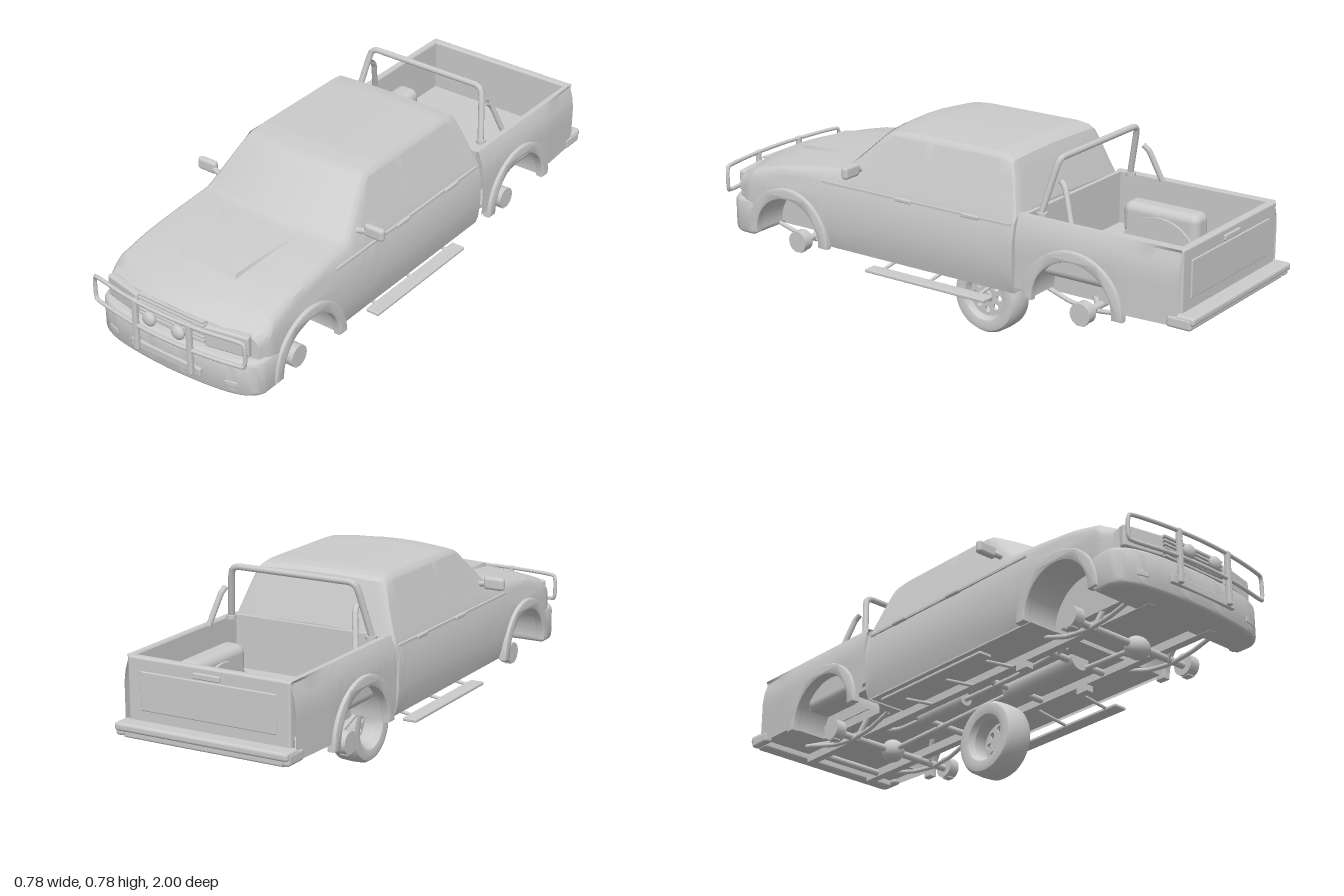
import * as THREE from 'three';
import { toCreasedNormals } from 'three/addons/utils/BufferGeometryUtils.js';
import { RoundedBoxGeometry } from 'three/addons/geometries/RoundedBoxGeometry.js';

const mat = new THREE.MeshStandardMaterial({ color: 0xcccccc, side: THREE.DoubleSide });
const V = (x, y, z) => new THREE.Vector3(x, y, z);
const lerp = THREE.MathUtils.lerp, clamp = THREE.MathUtils.clamp;
const range = (a, b, n) => Array.from({ length: n + 1 }, (_, i) => lerp(a, b, i / n));

// Piecewise linear lookup in [[t, value], ...]
function interp(tab, t) {
  if (t <= tab[0][0]) return tab[0][1];
  for (let i = 1; i < tab.length; i++) {
    const [a, va] = tab[i - 1], [b, vb] = tab[i];
    if (t <= b) return lerp(va, vb, (t - a) / (b - a));
  }
  return tab[tab.length - 1][1];
}

// Surface over two parameter lists
function grid(us, vs, f, crease = 0.45) {
  const pos = [], idx = [], n = vs.length;
  us.forEach((u, i) => vs.forEach((v, j) => {
    pos.push(...f(u, v));
    if (i && j) {
      const d = i * n + j, c = d - 1, b = d - n, a = b - 1;
      idx.push(a, c, b, b, c, d);
    }
  }));
  const g = new THREE.BufferGeometry();
  g.setAttribute('position', new THREE.Float32BufferAttribute(pos, 3));
  g.setIndex(idx);
  return toCreasedNormals(g, crease);
}

// Body rules: half width by height, centreline height by length
const SIDE = [[.28, .305], [.33, .322], [.4, .33], [.48, .327], [.55, .312], [.59, .295], [.75, .24]];
const TOP = [[-.315, .575], [-.265, .735], [-.245, .75], [-.2, .757], [.2, .757], [.275, .75], [.3, .737],
  [.455, .605], [.47, .6], [.6, .587], [.76, .565], [.88, .535], [.935, .507], [1, .49]];
const sideX = y => interp(SIDE, y);
const topAt = (x, z) => interp(TOP, z + (z > .1 ? .05 : 0) * (x / .3) ** 2) - .012 * (x / .3) ** 2;
const FRONT = { z: .655, y: .3, r: .15 }, REAR = { z: -.555, y: .31, r: .16 };
const archY = (a, base, z) => Math.max(base, a.y + Math.sqrt(Math.max(0, a.r ** 2 - (z - a.z) ** 2)));
const noseZ = (x, z) => z - .05 * (x / .33) ** 2 * clamp((z - .82) / .1, 0, 1);
const stations = (a, b, n, arch) => [...range(a, b, n), ...range(0, Math.PI, 20).map(t => arch.z + arch.r * Math.cos(t))].sort((p, q) => p - q);
const whole = half => [...half, ...half.slice(0, -1).reverse().map(([x, y]) => [-x, y])];

function cabSection(z) {
  const n = 1 - .05 * clamp((z - .84) / .095, 0, 1) ** 2;
  const yb = archY(FRONT, .3, z), edge = topAt(sideX(topAt(.27, z)), z), w = sideX(edge - .008) * n - .004;
  const pts = range(yb, edge - .022, 8).map(y => [sideX(y) * n, y]);
  pts.push([w, edge - .008]);
  [.96, .85, .6, .3, 0].forEach(a => pts.push([w * a, topAt(w * a, z)]));
  return pts;
}

function bedSection(z) {
  const pts = range(archY(REAR, .33, z), .57, 6).map(y => [Math.min(.328, sideX(y) + .006) - .012 * clamp((-.75 - z) / .2, 0, 1), y]);
  return [...pts, [.305, .58], [.287, .58], [.284, .575], [.284, .39], [0, .39]];
}

export function createModel() {
  const root = new THREE.Group();
  root.name = 'pickupTruck';
  const add = (name, geo, x = 0, y = 0, z = 0) => {
    const m = new THREE.Mesh(geo, mat);
    m.name = name;
    m.position.set(x, y, z);
    root.add(m);
    return m;
  };
  const box = (name, w, h, d, x, y, z, r = 0) =>
    add(name, r ? new RoundedBoxGeometry(w, h, d, 3, r) : new THREE.BoxGeometry(w, h, d), x, y, z);
  const tube = (name, pts, r, closed = false, tension = .2) => add(name, new THREE.TubeGeometry(
    new THREE.CatmullRomCurve3(pts.map(p => V(...p)), closed, 'catmullrom', tension), pts.length * 8, r, 10, closed));
  const rod = (name, a, b, r) => {
    const p = V(...a), q = V(...b), m = add(name, new THREE.CylinderGeometry(r, r, p.distanceTo(q), 16));
    m.position.copy(p).lerp(q, .5);
    m.quaternion.setFromUnitVectors(V(0, 1, 0), q.sub(p).normalize());
    return m;
  };
  const loft = (name, zs, section, bend = (x, z) => z) => {
    const rows = new Map(zs.map(z => [z, whole(section(z))]));
    const js = [...rows.get(zs[0]).keys()];
    add(name, grid(zs, js, (z, j) => { const [x, y] = rows.get(z)[j]; return [x, y, bend(x, z)]; }));
  };
  const cap = (name, z) => {
    const half = cabSection(z);
    add(name, grid(range(-1, 1, 16), [...half.keys()], (t, j) => [t * half[j][0], half[j][1], noseZ(t * half[j][0], z)]));
  };

  // Hood, fenders and cab in one skin, closed at both ends
  loft('cabAndHood', stations(-.315, .935, 70, FRONT), cabSection, noseZ);
  cap('noseFace', .935);
  cap('cabBackFace', -.315);
  add('windscreen', grid(range(-1, 1, 12), range(0, 1, 6), (u, v) => {
    const x = u * lerp(.25, .212, v), z = lerp(.45, .312, v) - .05 * (x / .3) ** 2;
    return [x, topAt(x, z) + .003, z];
  }));
  add('hoodScoop', grid([-1, -.96, -.5, 0, .5, .96, 1], [0, .05, .35, .7, 1], (u, v) => {
    const x = u * lerp(.118, .15, v), z = lerp(.765, .5, v), rim = Math.abs(u) === 1 || v === 0;
    return [x, topAt(x, z) + (rim ? -.002 : lerp(.014, .004, v)), z];
  }));
  add('rearWindow', grid([-1, 1], [0, 1], (u, v) => [u * lerp(.24, .215, v), lerp(.6, .705, v), lerp(-.312, -.278, v)]));

  // Load bed
  loft('bed', stations(-.94, -.328, 30, REAR), bedSection);
  box('bedFrontWall', .59, .24, .015, 0, .455, -.336);
  box('tailgate', .6, .235, .03, 0, .462, -.93, .008);
  box('tailgatePanel', .5, .13, .012, 0, .47, -.943, .004);
  box('tailgateHandle', .1, .02, .012, 0, .55, -.946, .004);

  // Underside panels
  box('cabFloor', .6, .015, .815, 0, .31, .097);
  box('engineFloor', .39, .015, .43, 0, .325, .715);
  box('bedUnderside', .4, .015, .61, 0, .35, -.635);
  box('bedUndersideFront', .62, .015, .065, 0, .35, -.362);
  box('bedUndersideRear', .6, .015, .225, 0, .35, -.828);

  for (const s of [1, -1]) {
    // Side windows, trim and handles
    [[[.335, .6], [.09, .6], [.09, .735], [.24, .735]], [[.06, .6], [-.24, .6], [-.21, .735], [.06, .735]]].forEach((q, i) =>
      add(i ? 'rearSideWindow' : 'frontSideWindow', grid([0, 1], [0, 1], (u, v) => {
        const z = lerp(lerp(q[0][0], q[3][0], v), lerp(q[1][0], q[2][0], v), u), y = lerp(.6, .732, v);
        return [s * (sideX(y) + .002), y, z];
      })));
    box('sideTrim', .01, .008, .8, s * .316, .537, .1);
    for (const z of [.14, -.14]) box('doorHandle', .014, .014, .07, s * .32, .537, z, .004);

    // Wheel arches: flares and inner wells
    for (const a of [FRONT, REAR]) {
      const sh = new THREE.Shape();
      sh.absarc(0, 0, a.r + .028, 0, Math.PI, false);
      sh.absarc(0, 0, a.r, Math.PI, 0, true);
      const flare = new THREE.ExtrudeGeometry(sh, { depth: .018, curveSegments: 24, bevelThickness: .006, bevelSize: .006, bevelSegments: 2 });
      flare.translate(0, 0, -.009).rotateY(Math.PI / 2);
      add('archFlare', toCreasedNormals(flare, .6), s * .326, a.y, a.z);
      const well = new THREE.CylinderGeometry(a.r, a.r, .12, 24, 1, true, 0, Math.PI).rotateZ(Math.PI / 2);
      add('wheelWell', well, s * .255, a.y, a.z);
      add('wheelWellWall', new THREE.CircleGeometry(a.r, 24, 0, Math.PI).rotateY(Math.PI / 2), s * .195, a.y, a.z);
      // Hub, spring and mount of each wheel station
      rod('hub', [s * .245, .272, a.z], [s * .285, .272, a.z], .039);
      box('shockMount', .028, .04, .03, s * .268, .252, a.z);
      const d = a === FRONT ? 1 : -1;
      tube('leafSpring', [[s * .19, .305, a.z + .23 * d], [s * .19, .27, a.z + .1 * d], [s * .19, .258, a.z], [s * .19, .268, a.z - .1 * d], [s * .19, .3, a.z - .2 * d]], .008);
      rod('shockAbsorber', [s * .17, .26, a.z], [s * .15, .36, a.z + .05], .01);
    }
    box('bedWheelHousing', .09, .12, .3, s * .25, .44, -.55, .03);

    // Chassis rail, step and its brackets
    box('frameRail', .03, .03, 1.75, s * .14, .29, .01);
    box('sideStep', .052, .012, .51, s * .313, .256, .045, .004);
    for (const z of [.25, .05, -.16]) rod('stepBracket', [s * .14, .28, z], [s * .3, .258, z], .006);
    box('railBracket', .03, .025, .05, s * .14, .265, .3);

    // Mirrors
    rod('mirrorArm', [s * .275, .6, .355], [s * .325, .608, .345], .01);
    box('mirror', .078, .046, .026, s * .352, .612, .342, .012);

    // Lamps
    box('headlight', .155, .078, .03, s * .215, .457, .917, .008).rotation.y = s * .2;
    box('fogLight', .045, .02, .015, s * .245, .322, .945, .004).rotation.y = s * .25;
    add('spotlight', new THREE.SphereGeometry(.026, 20, 14).scale(1, 1, .6), s * .06, .455, .978);
    box('bullBarPost', .02, .195, .018, s * .113, .418, .985, .006);

    // Roll bar strut
    tube('rollBarStrut', [[s * .25, .7, -.455], [s * .256, .68, -.475], [s * .28, .575, -.515]], .01);
    rod('rollBarFoot', [s * .27, .575, -.395], [s * .27, .588, -.395], .018);
  }
  tube('rollBar', [[.272, .575, -.39], [.244, .73, -.428], [.236, .757, -.434], [.21, .769, -.436], [-.21, .769, -.436],
    [-.236, .757, -.434], [-.244, .73, -.428], [-.272, .575, -.39]], .011, false, .1);

  // Front bumper: curved plan, raised with rounded edges
  const plan = new THREE.Shape();
  plan.moveTo(-.315, -.835);
  plan.lineTo(-.315, -.88);
  plan.bezierCurveTo(-.3, -.935, -.2, -.95, 0, -.955);
  plan.bezierCurveTo(.2, -.95, .3, -.935, .315, -.88);
  plan.lineTo(.315, -.835);
  const bumper = new THREE.ExtrudeGeometry(plan, { depth: .09, curveSegments: 16, bevelThickness: .022, bevelSize: .018, bevelSegments: 4 });
  add('frontBumper', toCreasedNormals(bumper.rotateX(-Math.PI / 2), .6), 0, .298, 0);
  box('lowerIntake', .29, .03, .015, 0, .333, .972, .004);
  range(.43, .5, 5).forEach(y => box('grilleSlat', .27, .007, .02, 0, y, .935));

  // Bull bar hoop
  const hoop = [];
  for (const [x, y] of [[.29, .507], [.31, .495], [.313, .46], [.31, .425], [.29, .415], [.15, .415], [0, .415]]) hoop.push([x, y]);
  const loop = [[0, .507], [.15, .507], ...hoop, ...hoop.slice(0, -1).reverse().map(([x, y]) => [-x, y]), [-.15, .507]];
  tube('bullBarHoop', loop.map(([x, y]) => [x, y, .99 - .035 * (x / .313) ** 2]), .007, true, .5);

  // Rear bumper with lower step
  box('rearBumper', .64, .028, .07, 0, .357, -.965, .01);
  box('rearBumperStep', .6, .03, .05, 0, .333, -.955, .008);
  for (const s of [1, -1]) box('rearBumperEnd', .03, .04, .09, s * .307, .345, -.945, .01);

  // Axles and drivetrain
  for (const a of [FRONT, REAR]) rod('axle', [-.25, .268, a.z], [.25, .268, a.z], .013);
  add('frontDifferential', new THREE.SphereGeometry(.04, 20, 14).scale(1.2, 1, 1), .03, .262, .655);
  add('rearDifferential', new THREE.SphereGeometry(.042, 20, 14), 0, .268, -.555);
  rod('gearbox', [0, .295, .42], [0, .29, .08], .04);
  rod('frontDriveShaft', [.03, .265, .655], [.03, .28, .15], .009);
  rod('rearDriveShaft', [0, .285, .1], [0, .27, -.555], .01);
  for (const z of [.85, .4, .1, -.3, -.8]) rod('crossMember', [-.14, .29, z], [.14, .29, z], .012);
  tube('exhaustPipe', [[-.09, .3, .45], [-.09, .28, .2], [-.09, .28, -.4], [-.1, .325, -.55], [-.12, .32, -.7], [-.18, .322, -.84]], .009);
  rod('muffler', [-.09, .28, -.05], [-.09, .28, -.28], .025);

  // Single wheel under the middle
  const tyre = [[.078, -.04], [.084, -.05], [.105, -.055], [.122, -.051], [.131, -.038], [.133, 0], [.131, .038], [.122, .051],
    [.105, .055], [.084, .05], [.078, .04], [.07, .02], [.07, -.03], [.078, -.04]].map(p => new THREE.Vector2(...p));
  add('tyre', toCreasedNormals(new THREE.LatheGeometry(tyre, 40).rotateZ(-Math.PI / 2), .6), 0, .133, 0);
  const disc = new THREE.Shape().absarc(0, 0, .073, 0, Math.PI * 2);
  for (let i = 0; i < 8; i++) {
    const t = i * Math.PI / 4;
    disc.holes.push(new THREE.Path().absarc(.05 * Math.cos(t), .05 * Math.sin(t), .011, 0, Math.PI * 2, true));
  }
  add('wheelDisc', new THREE.ExtrudeGeometry(disc, { depth: .01, bevelEnabled: false, curveSegments: 20 }).rotateY(Math.PI / 2), .018, .133, 0);
  rod('wheelCentre', [.01, .133, 0], [.042, .133, 0], .022);
  return root;
}
